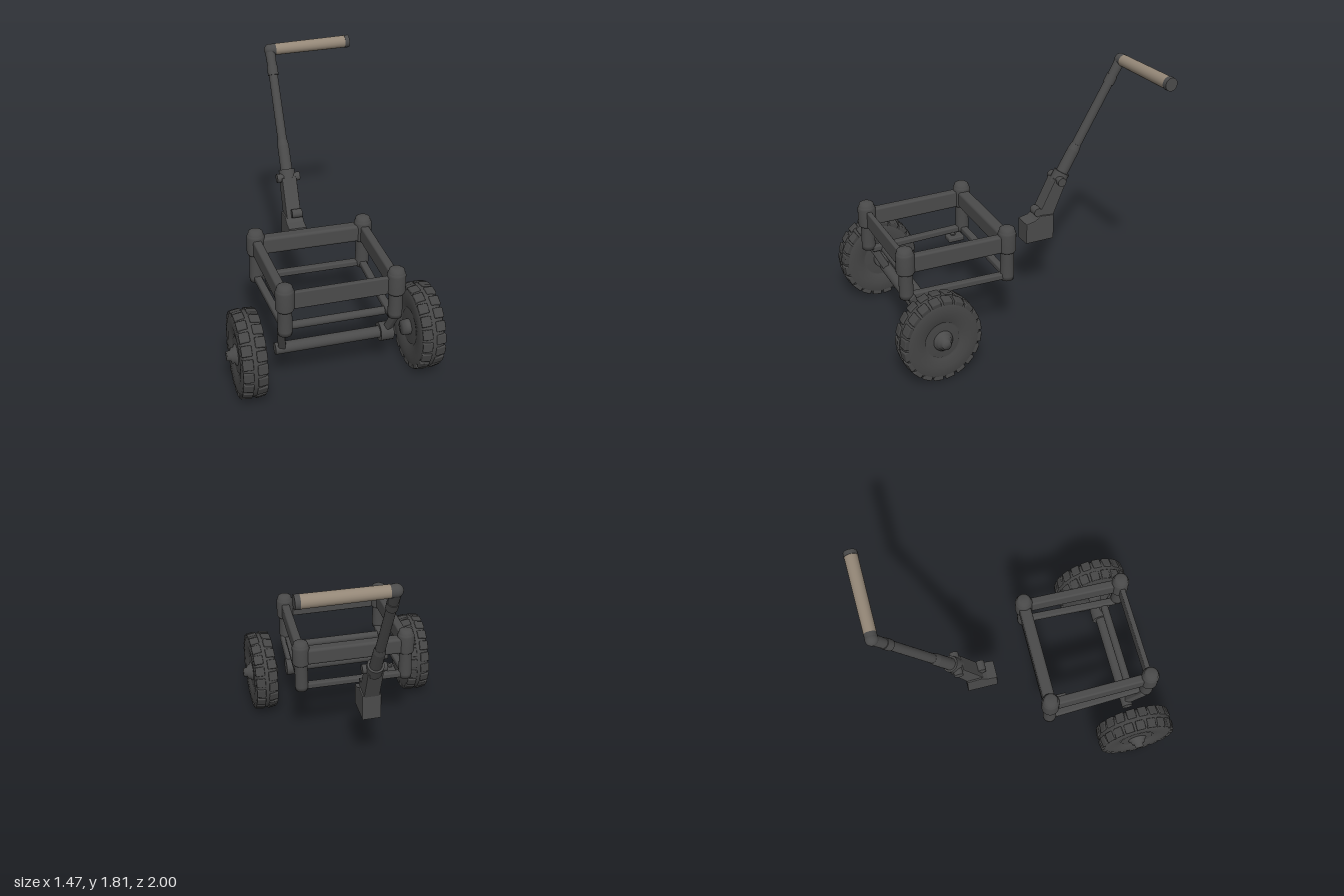
import * as THREE from 'three';
import { RoundedBoxGeometry } from 'three/addons/geometries/RoundedBoxGeometry.js';

const frameMat = new THREE.MeshStandardMaterial({ name: 'dark metal', color: 0x4a4a4a });
const tyreMat = new THREE.MeshStandardMaterial({ name: 'tyre rubber', color: 0x454545 });
const gripMat = new THREE.MeshStandardMaterial({ name: 'tan grip', color: 0x948777 });

const V = (x, y, z) => new THREE.Vector3(x, y, z);

function add(parent, name, geometry, material = frameMat, pos = [0, 0, 0]) {
  const mesh = new THREE.Mesh(geometry, material);
  mesh.name = name;
  mesh.position.set(...pos);
  parent.add(mesh);
  return mesh;
}

// Places a geometry whose length runs along z between two points
function span(parent, name, a, b, makeGeometry, material) {
  const mesh = add(parent, name, makeGeometry(a.distanceTo(b)), material);
  mesh.position.copy(a).add(b).multiplyScalar(0.5);
  mesh.lookAt(b);
  return mesh;
}
const rod = (parent, name, a, b, r0, r1 = r0, material = frameMat) =>
  span(parent, name, a, b, (l) => new THREE.CylinderGeometry(r1, r0, l, 20).rotateX(Math.PI / 2), material);
const bar = (parent, name, a, b, w, h) =>
  span(parent, name, a, b, (l) => new RoundedBoxGeometry(w, h, l, 2, Math.min(w, h) * 0.25));

function lathe(points) {
  return new THREE.LatheGeometry(points.map(([r, y]) => new THREE.Vector2(r, y)), 40);
}

// Side profile in (z, y), extruded across x
function sideExtrude(points, width) {
  const shape = new THREE.Shape(points.map(([z, y]) => new THREE.Vector2(z, y)));
  const bevel = 0.008;
  return new THREE.ExtrudeGeometry(shape, {
    depth: width - 2 * bevel, bevelSize: bevel, bevelThickness: bevel, bevelOffset: -bevel, bevelSegments: 2,
  }).translate(0, 0, -width / 2 + bevel).rotateY(-Math.PI / 2);
}

function makeWheel(side) {
  const wheel = new THREE.Group();
  wheel.name = side > 0 ? 'leftWheel' : 'rightWheel';
  // Tyre body with a recessed disc on each face
  const half = [[0, -0.07], [0.125, -0.07], [0.13, -0.062], [0.137, -0.072], [0.2, -0.084],
    [0.26, -0.083], [0.285, -0.068], [0.294, -0.035]];
  const profile = [...half, ...half.map(([r, y]) => [r, -y]).reverse()];
  add(wheel, 'tyre', lathe(profile).rotateZ(Math.PI / 2), tyreMat);
  // Staggered shoulder lugs
  const count = 20;
  for (let i = 0; i < count; i++) {
    for (const s of [-1, 1]) {
      const pivot = new THREE.Group();
      pivot.name = 'treadLug';
      pivot.rotation.x = ((i + (s > 0 ? 0.5 : 0)) / count) * Math.PI * 2;
      const lug = add(pivot, 'lug', new RoundedBoxGeometry(0.07, 0.045, 0.072, 1, 0.008), tyreMat, [s * 0.046, 0.278, 0]);
      lug.rotation.z = -s * 0.14;
      wheel.add(pivot);
    }
  }
  // Axle stub, nuts and flanges
  const stub = [[0, -0.125], [0.05, -0.125], [0.055, -0.095], [0.055, -0.06], [0.075, 0.06], [0.07, 0.08],
    [0.055, 0.085], [0.052, 0.105], [0.036, 0.108], [0.032, 0.135], [0, 0.137]];
  add(wheel, 'hub', lathe(stub).rotateZ(-side * Math.PI / 2));
  wheel.scale.z = 0.92;
  wheel.position.set(side * 0.597, 0.312, 0.718);
  wheel.rotation.y = side > 0 ? 0.04 : 0;
  return wheel;
}

function makeFrame() {
  const frame = new THREE.Group();
  frame.name = 'frame';
  const corners = [[-0.385, 0.12], [0.385, 0.125], [0.37, 0.845], [-0.372, 0.848]];
  const at = (i, y) => V(corners[i][0], y, corners[i][1]);

  // Corner posts with collars and domed caps
  corners.forEach(([x, z], i) => {
    const bottom = i < 2 ? 0.48 : 0.51;
    const post = [[0, bottom], [0.046, bottom], [0.048, bottom + 0.03], [0.046, 0.69], [0.056, 0.692], [0.062, 0.705],
      [0.062, 0.825], [0.057, 0.84], [0.053, 0.842], [0.05, 0.862], [0.035, 0.872], [0, 0.874]];
    add(frame, 'cornerPost', lathe(post), frameMat, [x, 0, z]);
  });

  // Upper rails
  bar(frame, 'backUpperRail', at(0, 0.755), at(1, 0.755), 0.085, 0.125);
  bar(frame, 'sideUpperRail', at(1, 0.755), at(2, 0.755), 0.06, 0.125);
  bar(frame, 'frontUpperRail', at(2, 0.755), at(3, 0.755), 0.036, 0.125);
  bar(frame, 'sideUpperRail', at(3, 0.755), at(0, 0.755), 0.06, 0.125);

  // Lower rails, axle and struts
  bar(frame, 'backLowerRail', at(0, 0.505), at(1, 0.505), 0.05, 0.045);
  rod(frame, 'crossRod', V(-0.36, 0.49, 0.74), V(0.36, 0.49, 0.74), 0.028);
  rod(frame, 'axleBar', V(-0.41, 0.31, 0.72), V(0.4, 0.31, 0.72), 0.04);
  for (const s of [-1, 1]) {
    bar(frame, 'sideLowerRail', V(s * 0.385, 0.507, 0.12), V(s * 0.355, 0.507, 0.83), 0.05, 0.045);
    bar(frame, 'axleStrut', V(s * 0.395, 0.53, 0.83), V(s * 0.36, 0.31, 0.72), 0.05, 0.05);
  }
  rod(frame, 'axleCollar', V(0.31, 0.31, 0.72), V(0.4, 0.31, 0.72), 0.064);
  add(frame, 'cornerPlate', new RoundedBoxGeometry(0.085, 0.035, 0.12, 2, 0.008), frameMat, [-0.29, 0.49, 0.22]);
  add(frame, 'plateBolt', new THREE.CylinderGeometry(0.018, 0.018, 0.05, 12), frameMat, [-0.3, 0.492, 0.23]);
  return frame;
}

function makePullHandle() {
  const pull = new THREE.Group();
  pull.name = 'pullHandle';
  // Base block and sloping bracket
  add(pull, 'baseBlock', sideExtrude([[-0.185, 0.51], [-0.185, 0.665], [-0.255, 0.68], [-0.3, 0.71], [-0.405, 0.7], [-0.405, 0.51]], 0.135));
  add(pull, 'bracket', sideExtrude([[-0.265, 0.66], [-0.3, 0.735], [-0.415, 0.965], [-0.505, 0.93], [-0.405, 0.69], [-0.4, 0.6]], 0.11));
  rod(pull, 'bracketBolt', V(-0.02, 0.735, -0.285), V(0.055, 0.735, -0.285), 0.032);
  rod(pull, 'pivotPin', V(-0.085, 0.95, -0.455), V(0.085, 0.95, -0.455), 0.032);

  // Telescoping tube
  const low = V(0, 0.8, -0.385), top = V(-0.002, 1.765, -0.938);
  const p = (t) => low.clone().lerp(top, t);
  rod(pull, 'lowerCollar', p(0.12), p(0.2), 0.058);
  rod(pull, 'lowerTube', p(0), p(0.36), 0.044, 0.042);
  rod(pull, 'tubeTaper', p(0.36), p(0.4), 0.042, 0.035);
  rod(pull, 'upperTube', p(0.38), p(1), 0.034, 0.032);
  rod(pull, 'upperCollar', p(0.83), p(0.89), 0.039);
  rod(pull, 'cornerSleeve', p(0.89), p(1), 0.034, 0.038);
  add(pull, 'cornerElbow', new THREE.SphereGeometry(0.043, 20, 14), frameMat, top.toArray());

  // Cross grip
  const tip = V(0.605, 1.772, -0.952);
  const g = (t) => top.clone().lerp(tip, t);
  rod(pull, 'gripSleeve', g(0), g(0.07), 0.042);
  rod(pull, 'grip', g(0.065), g(0.95), 0.042, 0.045, gripMat);
  rod(pull, 'gripEndCap', g(0.945), g(1), 0.048, 0.046);
  return pull;
}

export function createModel() {
  const model = new THREE.Group();
  model.name = 'handCart';
  model.add(makeFrame(), makePullHandle(), makeWheel(1), makeWheel(-1));
  return model;
}
